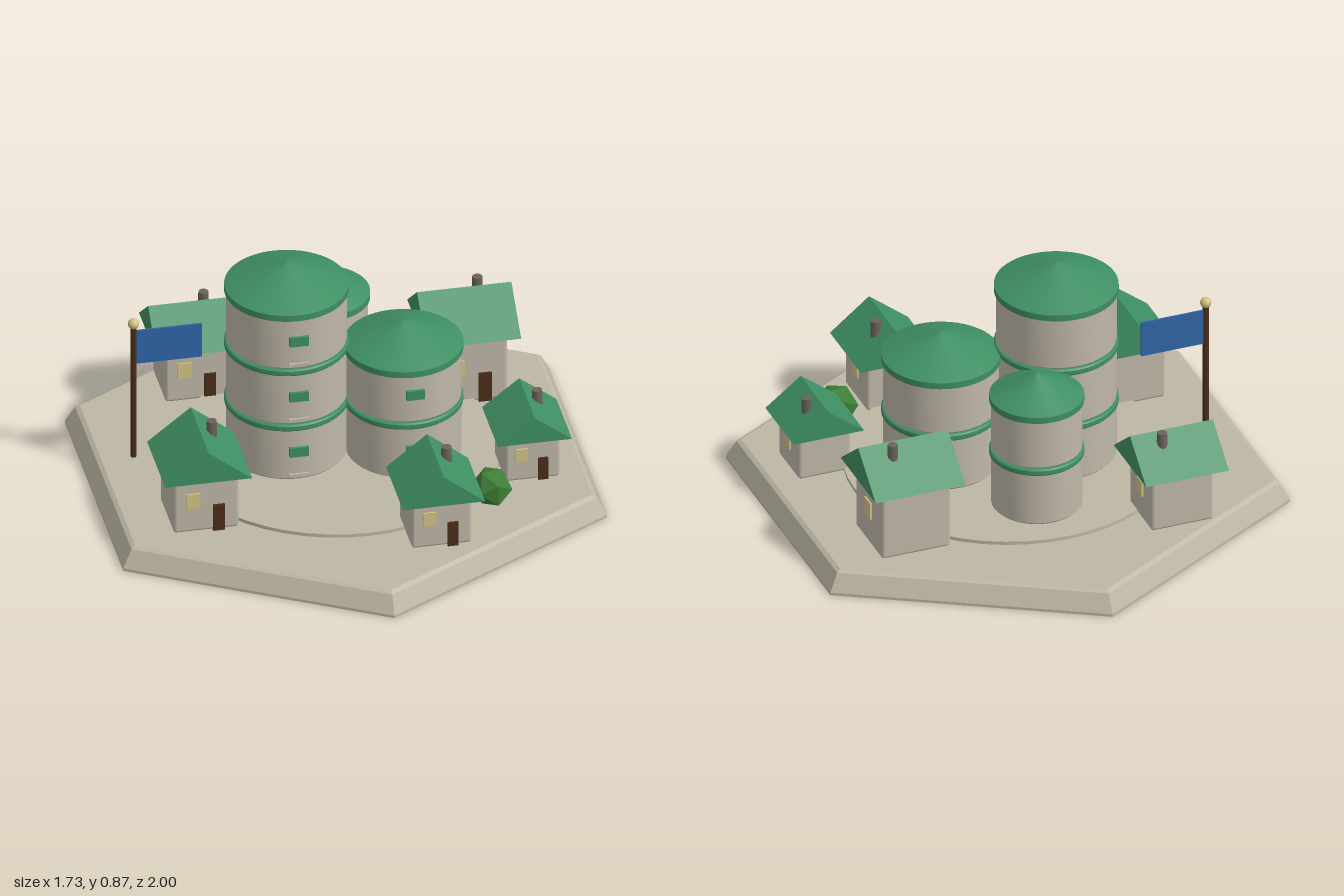
import * as THREE from 'three';
import { toCreasedNormals } from 'three/addons/utils/BufferGeometryUtils.js';
import { RoundedBoxGeometry } from 'three/addons/geometries/RoundedBoxGeometry.js';

const paint = (name, color) => {
  const m = new THREE.MeshStandardMaterial({ color });
  m.name = name;
  return m;
};

export function createModel() {
  const mats = {
    ground: paint('ground stone', 0xbdb7a3),
    wall: paint('wall stone', 0xbfb7a8),
    green: paint('roof green', 0x3f8f63),
    door: paint('dark wood', 0x4a2d18),
    pane: paint('window yellow', 0xd3c284),
    chimney: paint('chimney grey', 0x6b625a),
    blue: paint('flag blue', 0x2f65a8),
    leaf: paint('leaf green', 0x3d7d35),
  };
  const model = new THREE.Group();
  model.name = 'village';

  const add = (parent, name, geo, mat, x = 0, y = 0, z = 0) => {
    const mesh = new THREE.Mesh(geo, mat);
    mesh.name = name;
    mesh.position.set(x, y, z);
    parent.add(mesh);
    return mesh;
  };
  const group = (name, x, y, z) => {
    const g = new THREE.Group();
    g.name = name;
    g.position.set(x, y, z);
    model.add(g);
    return g;
  };
  const box = (w, h, d) => new THREE.BoxGeometry(w, h, d);
  const turned = (points, segments, crease = 0.5) => toCreasedNormals(
    new THREE.LatheGeometry(points.map(([r, y]) => new THREE.Vector2(r, y)), segments), crease);

  // Hexagonal plinth with a low round plaza
  const G = 0.083;
  add(model, 'plinth', turned(
    [[0, 0], [1, 0], [1, 0.01], [0.962, 0.074], [0.945, G], [0, G]], 6, 0.2), mats.ground);
  add(model, 'plaza', new THREE.CylinderGeometry(0.58, 0.58, 0.014, 48), mats.ground, 0, G + 0.006, 0);

  // Round towers: stacked drums, green bands, conical roof, front windows
  const PITCH = 0.228, DRUM = 0.203;
  const tower = (name, x, z, r, floors, sills) => {
    const g = group(name, x, 0.097, z);
    const rim = r + 0.007;
    for (let i = 0; i < floors; i++) {
      const y = i * PITCH;
      add(g, 'drum', turned([[0, 0], [r - 0.008, 0], [r, 0.008], [r, PITCH - 0.02], [0, PITCH - 0.02]], 48),
        mats.wall, 0, y, 0);
      if (i < floors - 1) {
        add(g, 'band', turned([[0, 0], [rim - 0.005, 0], [rim, 0.005], [rim, 0.021], [rim - 0.005, 0.026], [0, 0.026]], 48),
          mats.green, 0, y + DRUM, 0);
      }
      add(g, 'window', box(r * 0.32, 0.037, 0.02), mats.green, 0, y + 0.118, r);
      if (sills) add(g, 'sill', box(r * 0.34, 0.01, 0.014), mats.wall, 0, y + 0.022, r);
    }
    // The last drum is topped by the roof
    const top = (floors - 1) * PITCH + DRUM;
    add(g, 'drumTop', new THREE.CylinderGeometry(r, r, 0.024, 48), mats.wall, 0, top - 0.008, 0);
    add(g, 'roof', turned([[0, 0], [rim, 0], [rim, 0.024], [rim - 0.012, 0.029], [0, 0.11]], 48, 0.3),
      mats.green, 0, top - 0.042 + 0.0 + 0.0 + 0.0 + (floors > 2 ? 0.042 : 0.03), 0);
  };
  tower('tallTower', -0.172, -0.025, 0.212, 3, true);
  tower('frontTower', 0.23, 0.057, 0.203, 2, false);
  tower('backTower', 0.02, -0.325, 0.16, 2, false);

  // Cottages: w, d body; eave and ridge heights above ground; rw, rd roof plan
  const cottage = (x, z, w, d, eave, ridge, rw, rd, sideways) => {
    const g = group('cottage', x, G, z);
    const bodyH = eave + 0.01;
    add(g, 'walls', new RoundedBoxGeometry(w, bodyH, d, 2, 0.012), mats.wall, 0, bodyH / 2, 0);

    const span = sideways ? rd : rw, length = sideways ? rw : rd;
    const gable = new THREE.Shape([
      new THREE.Vector2(-span / 2, 0), new THREE.Vector2(span / 2, 0), new THREE.Vector2(0, ridge - eave)]);
    const roof = new THREE.ExtrudeGeometry(gable, { depth: length, bevelEnabled: false });
    roof.translate(0, 0, -length / 2);
    if (sideways) roof.rotateY(Math.PI / 2);
    add(g, 'gableRoof', roof, mats.green, 0, eave, 0);

    add(g, 'door', box(w * 0.18, w * 0.45, 0.009), mats.door, w * 0.185, w * 0.225, d / 2 + 0.003);
    add(g, 'frontWindow', box(w * 0.22, w * 0.25, 0.008), mats.pane, -w * 0.205, w * 0.55, d / 2 + 0.002);
    add(g, 'sideWindow', box(0.008, w * 0.25, w * 0.22), mats.pane, w / 2 + 0.002, w * 0.55, 0);
    add(g, 'chimney', new THREE.CylinderGeometry(0.018, 0.02, 0.09, 10), mats.chimney,
      w * 0.215, ridge - 0.033, -w * 0.16);
  };
  cottage(-0.553, 0.311, 0.234, 0.234, 0.22, 0.342, 0.312, 0.312, false);
  cottage(0.233, 0.59, 0.214, 0.214, 0.19, 0.307, 0.294, 0.294, false);
  cottage(0.635, 0.235, 0.196, 0.194, 0.174, 0.276, 0.266, 0.27, false);
  cottage(0.531, -0.344, 0.258, 0.258, 0.262, 0.395, 0.338, 0.336, true);
  cottage(-0.405, -0.534, 0.232, 0.215, 0.217, 0.34, 0.312, 0.31, true);

  // Flagpole
  const flag = group('flagpole', -0.703, G, -0.106);
  add(flag, 'pole', new THREE.CylinderGeometry(0.011, 0.011, 0.54, 12), mats.door, 0, 0.27, 0);
  add(flag, 'finial', new THREE.SphereGeometry(0.02, 16, 12), mats.pane, 0, 0.547, 0);
  add(flag, 'flag', box(0.236, 0.135, 0.008), mats.blue, 0.126, 0.45, 0);

  // Faceted bush
  const bush = add(model, 'bush', new THREE.IcosahedronGeometry(0.083, 0), mats.leaf, 0.462, 0.155, 0.46);
  bush.scale.set(0.86, 0.88, 1);
  bush.rotation.y = 0.15;

  return model;
}
